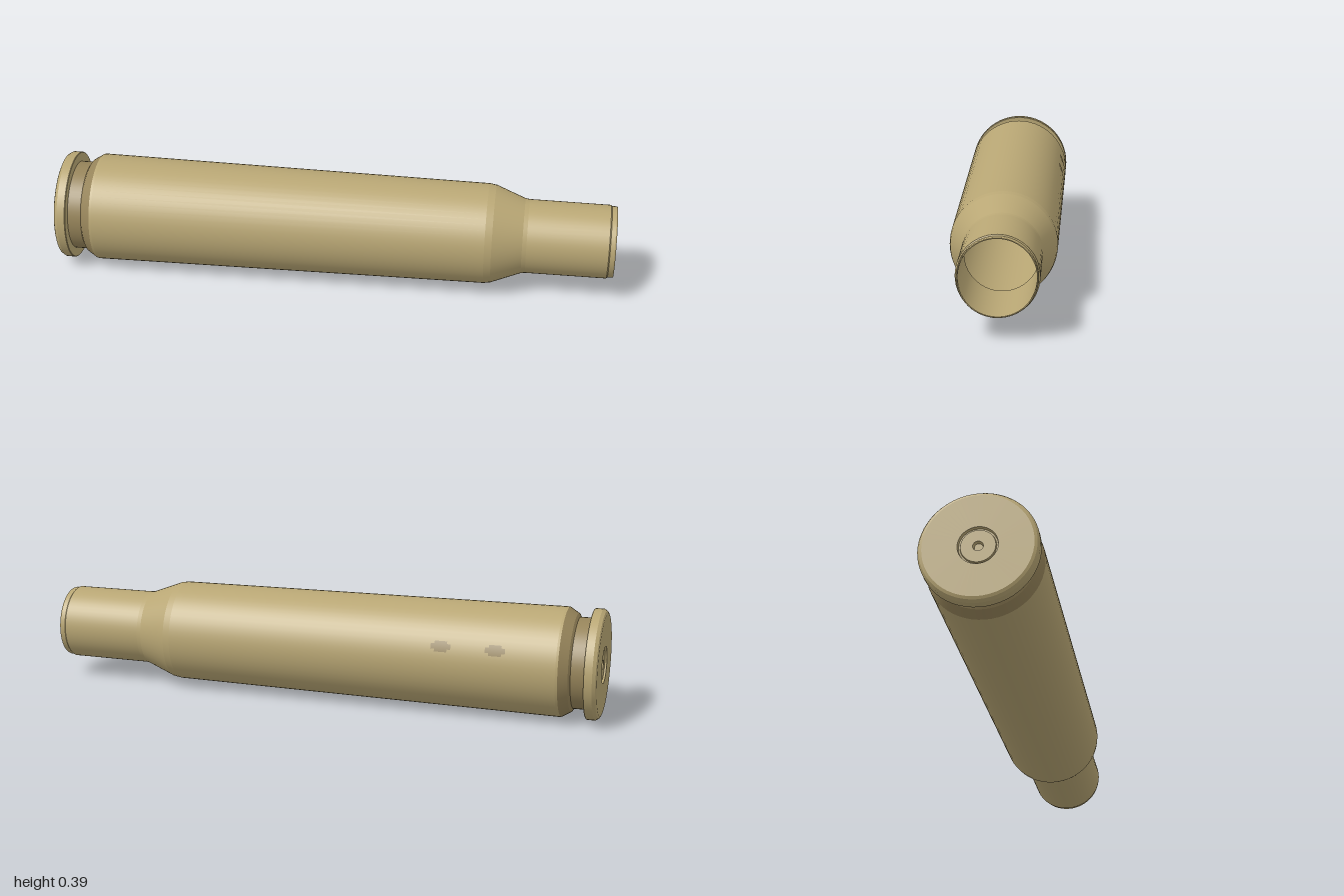
import * as THREE from 'three';
import { mergeGeometries } from 'three/addons/utils/BufferGeometryUtils.js';

const AXIS_Y = 0.195;
const SIDES = 56;

// Turn a profile of [position along x, radius]; each straight run keeps crisp ends.
function turned(profile, phiStart = 0, phiLength = Math.PI * 2, sides = SIDES) {
  const runs = [];
  for (let i = 0; i < profile.length - 1; i++) {
    const pts = [profile[i], profile[i + 1]].map(([x, r]) => new THREE.Vector2(r, x));
    runs.push(new THREE.LatheGeometry(pts, sides, phiStart, phiLength));
  }
  return mergeGeometries(runs).rotateZ(-Math.PI / 2);
}

export function createModel() {
  const brass = new THREE.MeshStandardMaterial({ color: 0xb8a674 });
  brass.name = 'brass';
  const tarnish = new THREE.MeshStandardMaterial({ color: 0x96845a });
  tarnish.name = 'tarnished brass';

  const model = new THREE.Group();
  model.name = 'cartridgeCase';
  const add = (name, geometry, material) => {
    const mesh = new THREE.Mesh(geometry, material);
    mesh.name = name;
    mesh.position.y = AXIS_Y;
    model.add(mesh);
  };

  // Base disc with a seated primer and its small central dimple
  add('primer', turned([
    [-0.982, 0], [-0.982, 0.014], [-0.994, 0.017], [-0.994, 0.056], [-0.988, 0.058],
  ]), brass);
  add('rim', turned([
    [-0.988, 0.058], [-0.988, 0.063], [-1, 0.065], [-1, 0.178], [-0.996, 0.187],
    [-0.985, 0.194], [-0.957, 0.194], [-0.955, 0.192], [-0.955, 0.16],
  ]), brass);

  // Extractor groove and the bevel up to the body
  add('extractorGroove', turned([
    [-0.955, 0.16], [-0.907, 0.16], [-0.9, 0.172], [-0.868, 0.192],
  ]), tarnish);

  // Gently tapered body, shoulder and neck
  add('body', turned([[-0.868, 0.192], [-0.86, 0.193], [0.545, 0.179]]), brass);
  add('shoulder', turned([[0.545, 0.179], [0.57, 0.175], [0.675, 0.134], [0.69, 0.132]]), brass);
  add('neck', turned([[0.69, 0.132], [0.976, 0.131], [0.98, 0.127]]), brass);
  add('mouth', turned([[0.98, 0.127], [0.995, 0.127], [1, 0.125], [1, 0.122], [0.99, 0.121]]), brass);

  // Hollow inside, down to the floor with its primer recess and flash hole
  add('innerWall', turned([
    [0.99, 0.121], [0.685, 0.122], [0.56, 0.165], [-0.78, 0.172], [-0.84, 0.15],
  ]), brass);
  add('innerFloor', turned([
    [-0.84, 0.15], [-0.85, 0.13], [-0.85, 0.063], [-0.865, 0.058], [-0.875, 0.015],
  ]), brass);
  add('flashHole', turned([[-0.875, 0.015], [-0.93, 0.015], [-0.93, 0]]), tarnish);

  // Two small stains on the back of the body
  for (const x of [-0.46, -0.65]) {
    const radius = 0.1945 - 0.01 * (x + 0.86);
    for (const [half, width] of [[0.035, 0.1], [0.022, 0.2]]) {
      const lift = half > 0.03 ? 0 : 0.0003;
      add('stain', turned([
        [x - half, radius + lift], [x + half, radius + lift],
      ], 3.52 - width / 2, width, 4), tarnish);
    }
  }
  return model;
}
